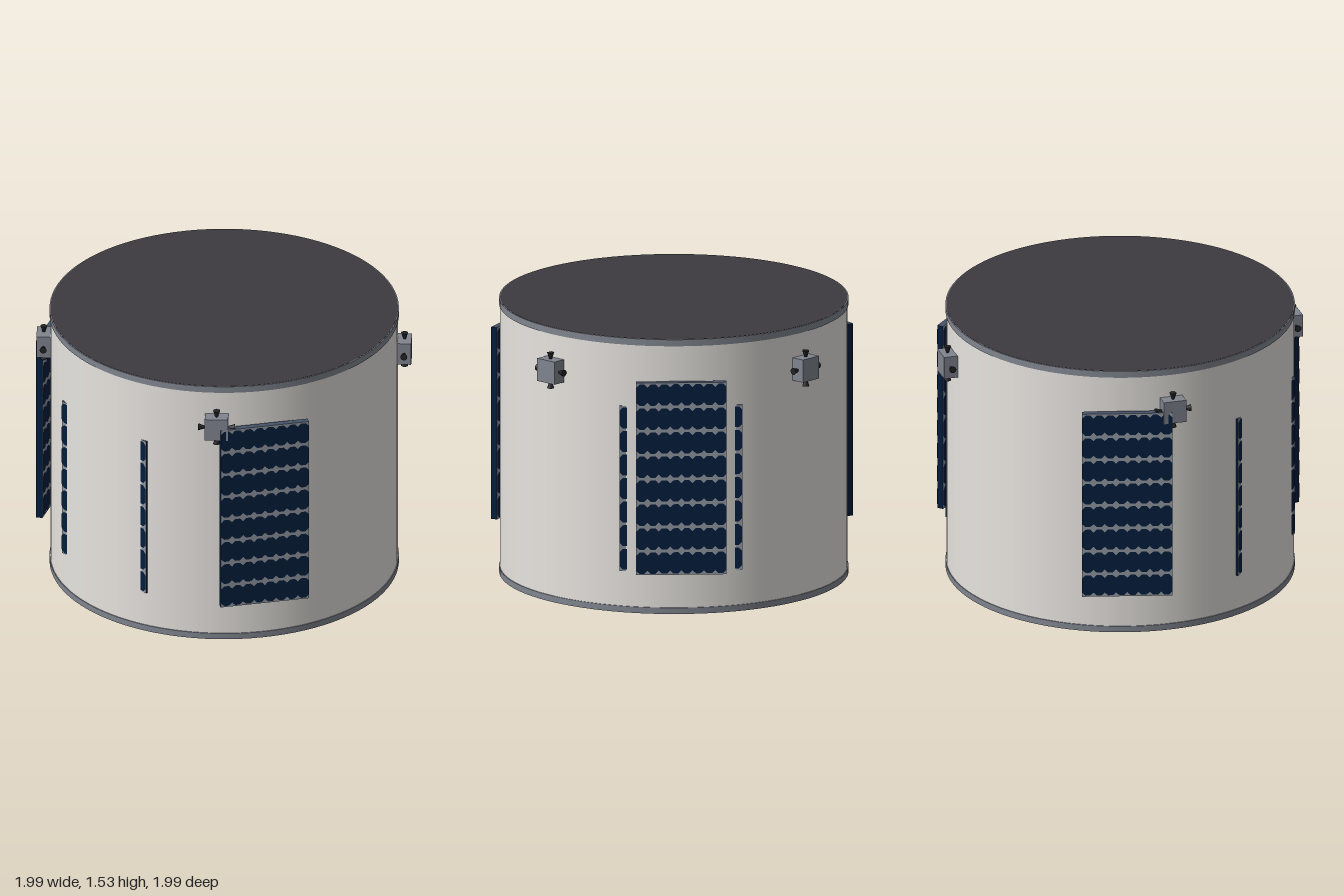
import * as THREE from 'three';
import { mergeGeometries } from 'three/addons/utils/BufferGeometryUtils.js';

const D = Math.PI / 180;
const mat = (name, color, side = THREE.FrontSide) => {
  const m = new THREE.MeshStandardMaterial({ color, side });
  m.name = name;
  return m;
};

export function createModel() {
  const cream = mat('cream shell', 0xe8e5e0, THREE.DoubleSide);
  const metal = mat('metal grey', 0x80858f);
  const dark = mat('dark charcoal', 0x3c3a3f, THREE.DoubleSide);
  const navy = mat('solar navy', 0x021d3d, THREE.DoubleSide);
  const slate = mat('slate edge', 0x46536b);
  const silver = mat('panel grey', 0x9097a0, THREE.DoubleSide);
  const black = mat('nozzle black', 0x222327, THREE.DoubleSide);

  const model = new THREE.Group();
  model.name = 'spacecraft';
  const add = (parent, name, geo, material, x = 0, y = 0, z = 0) => {
    const m = new THREE.Mesh(geo, material);
    m.name = name;
    m.position.set(x, y, z);
    parent.add(m);
    return m;
  };
  // Group turned about the axis so its +z points outward
  const spoke = (name, azimuth) => {
    const g = new THREE.Group();
    g.name = name;
    g.rotation.y = azimuth * D;
    model.add(g);
    return g;
  };

  // Drum shell, open at the bottom
  add(model, 'drumShell', new THREE.CylinderGeometry(0.93, 0.93, 1.5, 96, 1, true), cream, 0, 0.77);
  add(model, 'topCap', new THREE.CylinderGeometry(0.93, 0.93, 0.012, 96), dark, 0, 1.521);
  const ring = (name, y0, y1) => {
    const pts = [[0.925, y0], [0.935, y0], [0.935, y0], [0.935, y1], [0.935, y1], [0.925, y1], [0.925, y1], [0.925, y0]];
    add(model, name, new THREE.LatheGeometry(pts.map(p => new THREE.Vector2(...p)), 96), metal);
  };
  ring('topRing', 1.49, 1.526);
  ring('bottomRing', 0.012, 0.046);

  // Clipped-corner cells filling a w by h area
  const cellGrid = (w, h, cols, rows) => {
    const pw = w / cols, ph = h / rows, a = pw / 2, b = ph / 2 - 0.0075, c = 0.017;
    const outline = [[-a + c, -b], [a - c, -b], [a, -b + c], [a, b - c], [a - c, b], [-a + c, b], [-a, b - c], [-a, -b + c]];
    const shape = new THREE.Shape(outline.map(p => new THREE.Vector2(...p)));
    const cells = [];
    for (let i = 0; i < cols; i++) {
      for (let j = 0; j < rows; j++) {
        cells.push(new THREE.ShapeGeometry(shape).translate((i + 0.5) * pw - w / 2, (j + 0.5) * ph - h / 2, 0));
      }
    }
    return mergeGeometries(cells);
  };

  // Flat solar panel: navy side edges, slate ends, grey faces under the cells
  const solarPanel = (name, azimuth, w, y0, y1, dist, cols, rows, offset, cellFaces) => {
    const g = spoke(name, azimuth), h = y1 - y0, y = (y0 + y1) / 2, t = 0.035;
    add(g, 'panelBoard', new THREE.BoxGeometry(w, h, t), [navy, navy, slate, slate, silver, silver], offset, y, dist);
    for (const s of cellFaces) {
      add(g, 'solarCells', cellGrid(w - 0.002, h, cols, rows), navy, offset, y, dist + s * (t / 2 + 0.002));
    }
  };
  for (const [az, offset] of [[4.5, -0.007], [124.5, -0.005], [244, 0]]) {
    solarPanel('outerSolarPanel', az, 0.485, 0.24, 1.3, 0.961, 8, 8, offset, [1, -1]);
  }
  // Wider panels whose edges pass through the shell
  for (const az of [124.3, 304.3]) {
    solarPanel('innerSolarPanel', az, 0.658, 0.24, 1.15, 0.8645, 11, 7, 0, [1]);
  }

  // Curved array lining the inside wall
  const a0 = -34 * D, arc = 80 * D;
  add(model, 'curvedArray', new THREE.CylinderGeometry(0.915, 0.915, 0.91, 40, 1, true, a0, arc), navy, 0, 0.695);
  const dots = [];
  for (let i = 0; i < 20; i++) {
    for (let j = 0; j < 14; j++) {
      const a = a0 + (i + 0.5) * arc / 20;
      dots.push(new THREE.CircleGeometry(0.02, 8).rotateY(Math.PI)
        .translate(0, 0.24 + (j + 0.5) * 0.065, 0.909).rotateY(a));
    }
  }
  add(model, 'arrayDots', mergeGeometries(dots), silver);

  // Small nozzle pointing up its local +y, narrow end at the origin
  const nozzle = (parent, x, y, z, roll) => {
    const geo = new THREE.CylinderGeometry(0.019, 0.007, 0.036, 16).translate(0, 0.018, 0);
    add(parent, 'nozzle', geo, black, x, y, z).rotation.z = roll;
  };
  for (let k = 0; k < 4; k++) {
    // Upper thruster block with four nozzles
    const g = spoke('upperThruster', 348.8 + 90 * k);
    add(g, 'thrusterBlock', new THREE.BoxGeometry(0.125, 0.125, 0.082), metal, 0, 1.3, 0.963);
    for (let n = 0; n < 4; n++) {
      const r = n * Math.PI / 2;
      nozzle(g, -0.062 * Math.sin(r), 1.3 + 0.062 * Math.cos(r), 0.966, r);
    }
    // Lower thruster block with a downward nozzle and a pale rim
    const low = spoke('lowerThruster', 348.8 + 90 * k);
    add(low, 'lowerBlock', new THREE.BoxGeometry(0.085, 0.09, 0.075), metal, 0, 0.1, 0.765);
    add(low, 'lowerNozzle', new THREE.CylinderGeometry(0.014, 0.025, 0.054, 16), black, 0, 0.029, 0.765);
    add(low, 'nozzleRim', new THREE.CylinderGeometry(0.026, 0.027, 0.01, 16, 1, true), silver, 0, 0.006, 0.765);
  }

  // Inner body and main engine
  add(model, 'innerBody', new THREE.CylinderGeometry(0.6, 0.55, 0.8, 6), dark, 0, 1.05).rotation.y = 4.5 * D;
  const bell = [[0.1, 0.66], [0.16, 0.6], [0.2, 0.48], [0.235, 0.32], [0.26, 0.15], [0.27, 0.03]];
  add(model, 'mainEngineBell', new THREE.LatheGeometry(bell.map(p => new THREE.Vector2(...p)), 48), dark);
  for (const az of [122, 302]) {
    const g = spoke('auxiliaryEngine', az);
    add(g, 'engineBarrel', new THREE.CylinderGeometry(0.065, 0.088, 0.24, 32, 1, true), dark, 0, 0.14, 0.475);
    add(g, 'engineMount', new THREE.CylinderGeometry(0.065, 0.065, 0.42, 24), dark, 0, 0.47, 0.475);
  }
  // Round tank and pale canister under the body
  add(spoke('roundTank', 73), 'tankSphere', new THREE.SphereGeometry(0.15, 32, 20), silver, 0, 0.46, 0.45);
  const canister = spoke('canister', 211);
  add(canister, 'canisterBody', new THREE.CylinderGeometry(0.1, 0.1, 0.42, 32), cream, 0, 0.47, 0.39);
  add(canister, 'canisterCollar', new THREE.CylinderGeometry(0.108, 0.108, 0.03, 32), silver, 0, 0.29, 0.39);
  return model;
}
